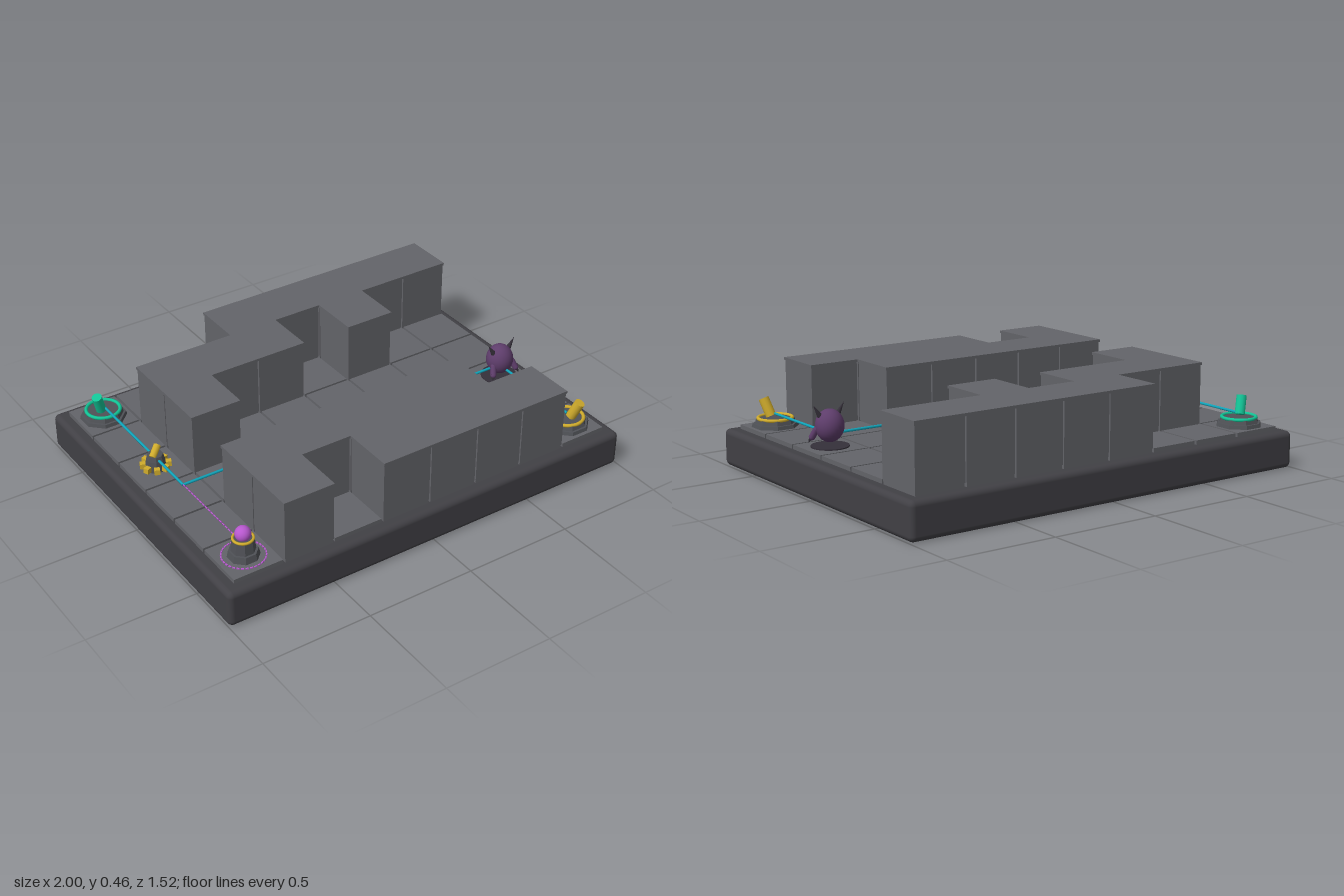
import * as THREE from 'three';
import { RoundedBoxGeometry } from 'three/addons/geometries/RoundedBoxGeometry.js';

const mat = (name, color, extra = {}) => {
  const m = new THREE.MeshStandardMaterial({ color, ...extra });
  m.name = name;
  return m;
};

export function createModel() {
  const M = {
    base: mat('charcoal', 0x414045),
    stone: mat('stone grey', 0x636469),
    metal: mat('dark metal', 0x505257, { flatShading: true }),
    beam: mat('cyan beam', 0x10a5bb),
    teal: mat('teal', 0x12c496),
    yellow: mat('yellow', 0xd0ac2c),
    violet: mat('bright violet', 0xb858cf),
    body: mat('creature purple', 0x5e3d6b),
    horn: mat('horn dark', 0x35303a),
  };
  const root = new THREE.Group();
  root.name = 'mazeBoard';
  const group = (name, x = 0, y = 0, z = 0) => {
    const g = new THREE.Group();
    g.name = name;
    g.position.set(x, y, z);
    root.add(g);
    return g;
  };
  const add = (parent, name, geo, m, x = 0, y = 0, z = 0) => {
    const mesh = new THREE.Mesh(geo, m);
    mesh.name = name;
    mesh.position.set(x, y, z);
    parent.add(mesh);
    return mesh;
  };
  // Turns a y-aligned mesh towards a direction
  const aim = (mesh, x, y, z) => {
    mesh.quaternion.setFromUnitVectors(new THREE.Vector3(0, 1, 0), new THREE.Vector3(x, y, z).normalize());
    return mesh;
  };
  const disc = (r0, r1, h, n = 8) => new THREE.CylinderGeometry(r0, r1, h, n).rotateY(Math.PI / n);
  const ring = (r, t, n = 40) => new THREE.TorusGeometry(r, t, 8, n).rotateX(Math.PI / 2);

  // Board
  add(root, 'board', new RoundedBoxGeometry(2, 0.166, 1.52, 4, 0.025), M.base, 0, 0.083, 0);

  // Floor tiles and wall blocks
  const P = 0.2374, FLOOR = 0.185;
  const colX = c => (c - 3.5) * P, rowZ = r => (r - 2.5) * P;
  const map = [
    '...#####',
    '.###.#..',
    '.#......',
    '........',
    '.#####..',
    '.#.####.',
  ];
  const tile = new THREE.BoxGeometry(0.227, 0.025, 0.227);
  const block = new THREE.BoxGeometry(0.231, 0.265, 0.231);
  const cap = new THREE.BoxGeometry(P + 0.001, 0.012, P + 0.001);
  const floor = group('floor'), walls = group('walls');
  map.forEach((line, r) => [...line].forEach((ch, c) => {
    const x = colX(c), z = rowZ(r);
    add(floor, 'floorTile', tile, M.stone, x, FLOOR - 0.0125, z);
    if (ch !== '#') return;
    add(walls, 'wallBlock', block, M.stone, x, FLOOR + 0.1325, z);
    add(walls, 'wallCap', cap, M.stone, x, 0.455, z);
  }));

  // Emitter and receiver: stepped base, coloured ring, tilted barrel
  const station = (name, m, c, r, dir) => {
    const g = group(name, colX(c), FLOOR, rowZ(r));
    add(g, 'foot', disc(0.1, 0.104, 0.016), M.metal, 0, 0.008, 0);
    add(g, 'plinth', disc(0.084, 0.09, 0.02), M.metal, 0, 0.026, 0);
    add(g, 'ring', ring(0.075, 0.008), m, 0, 0.037, 0);
    const d = new THREE.Vector3(...dir).normalize().multiplyScalar(0.09);
    aim(add(g, 'barrel', new THREE.CylinderGeometry(0.023, 0.023, 0.085, 12), m, d.x, d.y, d.z), ...dir);
  };
  station('emitter', M.teal, 0, 0, [-0.3, 1, 0.2]);
  station('receiver', M.yellow, 7, 5, [0.25, 1, 0.38]);

  // Beacon: octagonal post with glowing ball and dashed ring on the floor
  const beacon = group('beacon', colX(0), FLOOR, rowZ(5));
  add(beacon, 'foot', disc(0.062, 0.068, 0.03), M.metal, 0, 0.015, 0);
  add(beacon, 'post', disc(0.046, 0.052, 0.06), M.metal, 0, 0.058, 0);
  add(beacon, 'collar', ring(0.042, 0.006), M.yellow, 0, 0.086, 0);
  add(beacon, 'ball', new THREE.SphereGeometry(0.034, 24, 16), M.violet, 0, 0.107, 0);
  const dash = new THREE.BoxGeometry(0.012, 0.004, 0.006);
  for (let i = 0; i < 32; i++) {
    const a = i / 32 * Math.PI * 2;
    add(beacon, 'ringDash', dash, M.violet, Math.sin(a) * 0.091, 0.002, Math.cos(a) * 0.091).rotation.y = a;
  }

  // Splitter: grey core with yellow teeth
  const splitter = group('splitter', colX(0), FLOOR, rowZ(2));
  add(splitter, 'core', disc(0.04, 0.046, 0.05), M.metal, 0, 0.025, 0);
  const tooth = new THREE.BoxGeometry(0.024, 0.024, 0.024);
  for (let i = 0; i < 8; i++) {
    const a = (i + 0.5) / 8 * Math.PI * 2;
    add(splitter, 'tooth', tooth, M.yellow, Math.sin(a) * 0.055, 0.02, Math.cos(a) * 0.055).rotation.y = a;
  }
  add(splitter, 'head', disc(0.034, 0.04, 0.022), M.metal, 0, 0.061, 0);
  aim(add(splitter, 'barrel', new THREE.CylinderGeometry(0.016, 0.016, 0.06, 10), M.yellow, 0, 0.085, 0), 0.6, 0.5, -0.4);

  // Horned creatures
  const creature = (c, r) => {
    const g = group('creature', colX(c), FLOOR, rowZ(r));
    add(g, 'shadowDisc', new THREE.CylinderGeometry(0.082, 0.082, 0.005, 32), M.horn, 0, 0.0025, 0);
    add(g, 'body', new THREE.SphereGeometry(0.062, 24, 18), M.body, 0, 0.09, 0).scale.y = 1.15;
    for (const s of [-1, 1]) {
      aim(add(g, 'horn', new THREE.ConeGeometry(0.015, 0.07, 10), M.horn, s * 0.055, 0.153, 0.005), s * 0.65, 1, 0);
      aim(add(g, 'arm', new THREE.CapsuleGeometry(0.014, 0.04, 4, 10), M.body, s * 0.058, 0.058, 0.03), s * -0.35, 1, -0.5);
      aim(add(g, 'claw', new THREE.ConeGeometry(0.012, 0.035, 8), M.horn, s * 0.07, 0.03, 0.045), s * 0.35, -1, 0.5);
    }
  };
  creature(4, 3);
  creature(7, 3);

  // Light beam along the path
  const beams = group('beams');
  const link = (name, m, radius, a, b) => {
    const A = new THREE.Vector3(a[0], 0.24, a[1]), B = new THREE.Vector3(b[0], 0.24, b[1]);
    const d = B.clone().sub(A), mid = A.clone().add(B).multiplyScalar(0.5);
    aim(add(beams, name, new THREE.CylinderGeometry(radius, radius, d.length(), 8), m, mid.x, mid.y, mid.z), d.x, d.y, d.z);
  };
  const path = [[0, 0], [0, 3], [7, 3], [7, 5]].map(([c, r]) => [colX(c), rowZ(r)]);
  for (let i = 0; i < 3; i++) link('beam', M.beam, 0.006, path[i], path[i + 1]);

  // Thin dashed link to the beacon
  const z0 = rowZ(3), step = 0.0225;
  for (let i = 0; i < 19; i++) {
    const z = z0 + i * step;
    link('linkDash', M.violet, 0.003, [colX(0), z], [colX(0), z + step * 0.75]);
  }
  return root;
}
